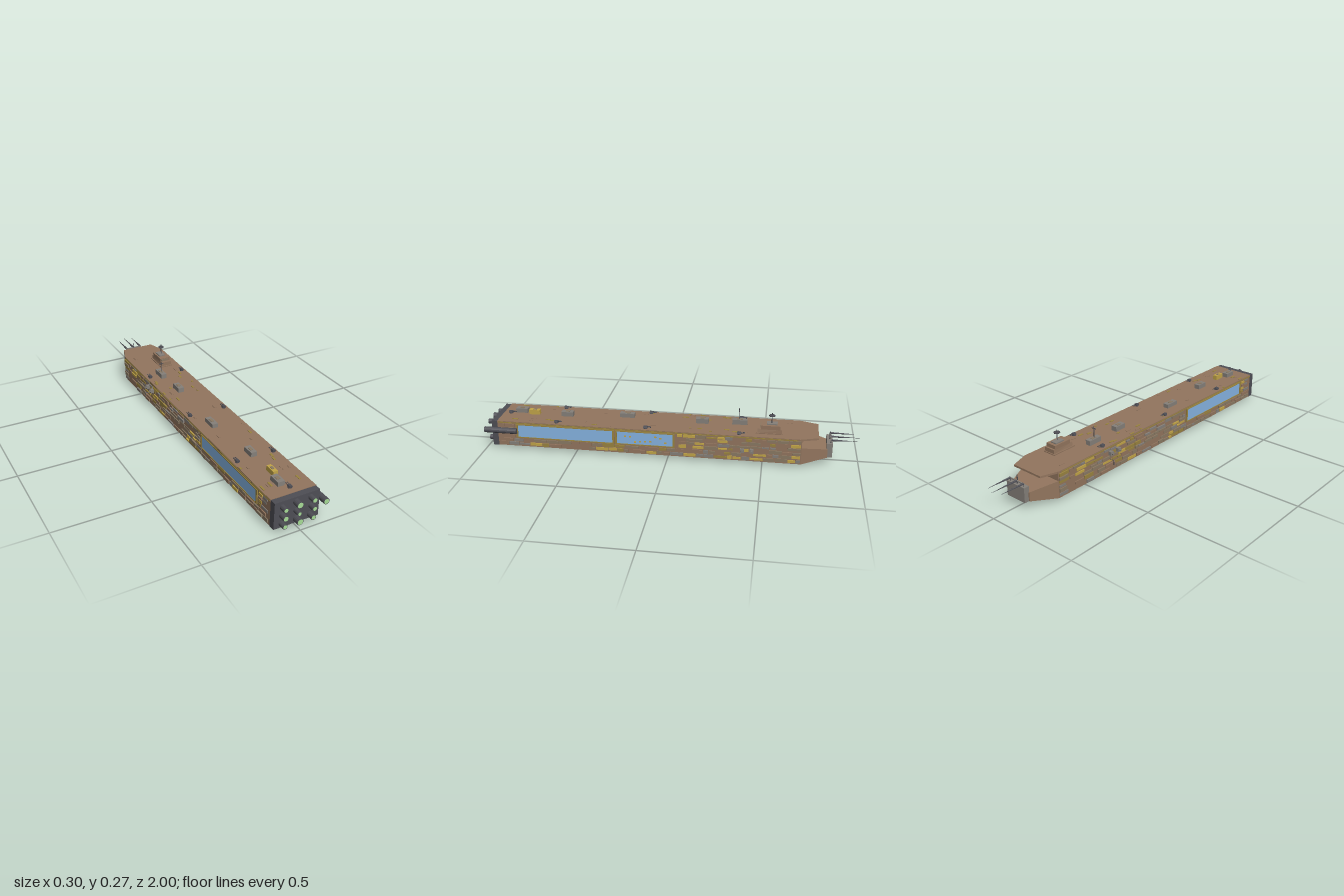
import * as THREE from 'three';

const mat = (color, extra = {}) => new THREE.MeshStandardMaterial({ color, flatShading: true, ...extra });
const M = {
  hull: mat(0x92755e), grey: mat(0x85807a), tan: mat(0x8a7a64), yellow: mat(0xc2a548),
  olive: mat(0x9a8440), dark: mat(0x4e4e55), blue: mat(0x86b4e2), green: mat(0xa6dc96),
};

// Small seeded generator for the plating
let seed = 7;
const rnd = () => (seed = (seed * 16807) % 2147483647) / 2147483647;
const between = (a, b) => a + (b - a) * rnd();

function add(parent, name, geo, material, x = 0, y = 0, z = 0) {
  const mesh = new THREE.Mesh(geo, material);
  mesh.name = name;
  mesh.position.set(x, y, z);
  parent.add(mesh);
  return mesh;
}
// Box given by its extents on each axis
function box(parent, name, material, [x0, x1], [y0, y1], [z0, z1]) {
  return add(parent, name, new THREE.BoxGeometry(x1 - x0, y1 - y0, z1 - z0), material,
    (x0 + x1) / 2, (y0 + y1) / 2, (z0 + z1) / 2);
}
function rod(parent, name, material, r, len, axis, x, y, z, sides = 8, r2 = r) {
  const geo = new THREE.CylinderGeometry(r2, r, len, sides);
  if (axis === 'z') geo.rotateX(Math.PI / 2);
  if (axis === 'x') geo.rotateZ(-Math.PI / 2);
  return add(parent, name, geo, material, x, y, z);
}
// Box whose cross-section changes: corners moved by their side in z and y
function taperedBox(parent, name, material, zBack, back, zFront, front) {
  const geo = new THREE.BoxGeometry(2, 2, 2);
  const p = geo.attributes.position;
  for (let i = 0; i < p.count; i++) {
    const [wTop, wBottom, y0, y1] = p.getZ(i) < 0 ? back : front;
    const up = p.getY(i) > 0;
    p.setXYZ(i, p.getX(i) * (up ? wTop : wBottom), up ? y1 : y0, p.getZ(i) < 0 ? zBack : zFront);
  }
  geo.computeVertexNormals();
  return add(parent, name, geo, material);
}

function buildHull(g) {
  box(g, 'hull', M.hull, [-0.12, 0.12], [0.02, 0.157], [-0.7, 0.93]);
  taperedBox(g, 'keel', M.hull, -0.715, [0.08, 0.048, 0, 0.022], 0.89, [0.08, 0.048, 0, 0.022]);
  taperedBox(g, 'nose', M.hull, -0.835, [0.066, 0.066, 0.042, 0.09], -0.7, [0.12, 0.12, 0.02, 0.112]);
  box(g, 'nosePlate', M.grey, [-0.06, 0.06], [0.042, 0.12], [-0.86, -0.83]);

  // Deck slab overhanging the nose
  const s = new THREE.Shape();
  [[-0.122, -0.93], [0.122, -0.93], [0.122, 0.69], [0.09, 0.785], [-0.09, 0.785], [-0.122, 0.69]]
    .forEach(([x, y], i) => (i ? s.lineTo(x, y) : s.moveTo(x, y)));
  const deck = new THREE.ExtrudeGeometry(s, { depth: 0.01, bevelEnabled: false });
  deck.rotateX(-Math.PI / 2);
  add(g, 'deck', deck, M.hull, 0, 0.152, 0);
}

function buildNoseSpikes(g) {
  rod(g, 'noseMast', M.dark, 0.0025, 0.05, 'y', 0, 0.138, -0.845);
  box(g, 'spikeBar', M.grey, [-0.05, 0.05], [0.131, 0.137], [-0.852, -0.846]);
  for (const x of [-0.045, 0, 0.045]) {
    const len = x ? 0.135 : 0.15;
    rod(g, 'noseSpike', M.dark, 0.006, len, 'z', x, 0.135, -0.85 - len / 2, 6, 0.0003).rotation.y = Math.PI;
    rod(g, 'spikePost', M.dark, 0.002, 0.02, 'y', x, 0.126, -0.85, 6);
  }
}

function thruster(g, x, y, r, z0, z1) {
  rod(g, 'thruster', M.dark, r + 0.003, z1 - z0, 'z', x, y, (z0 + z1) / 2, 16);
  rod(g, 'thrusterGlow', M.green, r, 0.002, 'z', x, y, z1, 16);
}
function buildEngines(g) {
  box(g, 'engineBlock', M.dark, [-0.12, 0.12], [0.018, 0.16], [0.93, 0.962]);
  const nozzles = [[-0.08, 0.132, 0.01], [-0.006, 0.135, 0.014], [0.072, 0.135, 0.011],
    [-0.078, 0.086, 0.012], [-0.006, 0.088, 0.009], [0.075, 0.088, 0.01],
    [-0.08, 0.042, 0.01], [0, 0.041, 0.014], [0.072, 0.041, 0.011]];
  nozzles.forEach(([x, y, r]) => thruster(g, x, y, r, 0.95, 0.995));
  thruster(g, 0.133, 0.112, 0.013, 0.82, 0.999);
}

// Blue bay with a yellow frame, on side s (+1 or -1)
function buildBay(g, s, z0, z1) {
  const y0 = 0.073, y1 = 0.147, f = 0.005;
  const side = (a, b) => (s > 0 ? [a, b] : [-b, -a]);
  box(g, 'bayWindow', M.blue, side(0.115, 0.1225), [y0, y1], [z0, z1]);
  for (const y of [y0, y1]) box(g, 'bayFrame', M.olive, side(0.115, 0.126), [y - f / 2, y + f / 2], [z0 - f, z1 + f]);
  for (const z of [z0, z1]) box(g, 'bayFrame', M.olive, side(0.115, 0.126), [y0, y1], [z - f, z + f]);
}

// Rows of irregular armour plates
function buildPlating(g, s, z0, z1, rows) {
  const colors = [M.tan, M.grey, M.olive, M.yellow, M.tan, M.hull];
  for (const [y0, y1] of rows) {
    for (let z = z0; z < z1 - 0.02;) {
      const end = Math.min(z + between(0.025, 0.075), z1);
      const x = between(0.122, 0.128);
      if (rnd() > 0.15) {
        box(g, 'armourPlate', colors[Math.floor(rnd() * colors.length)],
          s > 0 ? [0.115, x] : [-x, -0.115], [y0 + between(0, 0.006), y1 - between(0.001, 0.008)], [z, end - 0.004]);
      }
      z = end;
    }
  }
}

function buildSides(g) {
  const low = [[0.024, 0.047], [0.047, 0.07]];
  const high = [[0.072, 0.092], [0.092, 0.112], [0.112, 0.132], [0.132, 0.152]];
  for (const s of [1, -1]) {
    buildBay(g, s, 0.29, 0.82);
    buildPlating(g, s, -0.695, 0.92, low);
    buildPlating(g, s, -0.695, s > 0 ? -0.05 : 0.275, high);
    buildPlating(g, s, 0.835, 0.92, high);
  }
  buildBay(g, 1, -0.035, 0.275);
  // Lit hatches on the second bay
  for (let i = 0; i < 9; i++) {
    const z = 0.22 - i * 0.027, y = 0.083 + between(0, 0.04);
    box(g, 'bayHatch', M.yellow, [0.12, 0.1245], [y, y + 0.009], [z, z + 0.012]);
  }
  // Side guns
  for (const [s, y, zs] of [[1, 0.083, [-0.445, -0.395]], [-1, 0.125, [-0.345, -0.29]]]) {
    for (const z of zs) {
      box(g, 'sideGunMount', M.grey, [s * 0.131 - 0.009, s * 0.131 + 0.009], [y - 0.01, y + 0.01], [z - 0.01, z + 0.01]);
      rod(g, 'sideGun', M.grey, 0.006, 0.012, 'x', s * 0.142, y, z);
    }
  }
  rod(g, 'sideAerialArm', M.dark, 0.0015, 0.03, 'x', -0.135, 0.089, -0.345, 6);
  rod(g, 'sideAerial', M.dark, 0.0015, 0.025, 'y', -0.149, 0.077, -0.345, 6);
}

function turret(g, x, z, s = -1) {
  const t = new THREE.Group();
  t.name = 'turret';
  t.position.set(x, 0.162, z);
  rod(t, 'turretBase', M.dark, 0.011, 0.005, 'y', 0, 0.0025, 0, 8);
  taperedBox(t, 'turretHead', M.dark, -0.01, [0.007, 0.01, 0.004, 0.013], 0.01, [0.007, 0.01, 0.004, 0.013]);
  for (const dx of [-0.005, 0.005]) rod(t, 'turretBarrel', M.dark, 0.002, 0.024, 'z', dx, 0.009, s * 0.018, 6);
  g.add(t);
}

function buildDeck(g) {
  // Deckhouses: x, z, width, depth, height
  const houses = [[-0.035, -0.37, 0.03, 0.08, 0.026, M.grey], [-0.022, -0.17, 0.034, 0.068, 0.026, M.grey],
    [-0.04, 0.243, 0.032, 0.08, 0.022, M.grey], [-0.006, 0.57, 0.032, 0.065, 0.025, M.grey],
    [-0.003, 0.755, 0.025, 0.06, 0.026, M.yellow], [-0.023, 0.832, 0.036, 0.065, 0.024, M.grey]];
  for (const [x, z, w, d, h, m] of houses) {
    box(g, 'deckhouse', m, [x - w / 2, x + w / 2], [0.16, 0.162 + h], [z - d / 2, z + d / 2]);
    box(g, 'deckhouseVent', M.tan, [x - w / 4, x + w / 4], [0.16, 0.164 + h], [z - d / 5, z + d / 6]);
  }
  for (const z of [-0.375, 0.12, 0.605]) for (const x of [-0.1, 0.1]) turret(g, x, z);
  turret(g, 0.005, 0.89);

  // Mast with crossbar
  rod(g, 'mast', M.dark, 0.0018, 0.065, 'y', -0.035, 0.218, -0.365, 6);
  box(g, 'mastCrossbar', M.dark, [-0.048, -0.022], [0.237, 0.24], [-0.367, -0.363]);

  // Bridge tower with dish mast
  box(g, 'bridgeBase', M.hull, [0.008, 0.08], [0.16, 0.167], [-0.6, -0.46]);
  taperedBox(g, 'bridgeLower', M.hull, -0.595, [0.03, 0.032, 0.165, 0.188], -0.468, [0.028, 0.032, 0.165, 0.188]).position.x = 0.046;
  box(g, 'bridgeUpper', M.hull, [0.016, 0.076], [0.186, 0.207], [-0.585, -0.485]);
  box(g, 'bridgeWindow', M.tan, [0.02, 0.062], [0.191, 0.203], [-0.488, -0.482]);
  box(g, 'bridgeRoof', M.grey, [0.025, 0.06], [0.205, 0.213], [-0.57, -0.515]);
  rod(g, 'dishMast', M.dark, 0.002, 0.06, 'y', 0.047, 0.24, -0.54, 6);
  rod(g, 'dish', M.dark, 0.017, 0.004, 'y', 0.047, 0.255, -0.54, 8);

  // Scattered deck hatches
  for (let i = 0; i < 34; i++) {
    const x = (i % 2 ? 1 : -1) * between(0.05, 0.115), z = between(-0.66, 0.9), d = between(0.006, 0.018);
    if (x > 0 && z < -0.44) continue;
    box(g, 'deckHatch', rnd() > 0.4 ? M.olive : M.hull, [x - 0.005, x + 0.005], [0.16, 0.164], [z - d, z + d]);
  }
  // Deck edge trim
  for (const s of [-1, 1]) box(g, 'deckTrim', M.olive, [s * 0.1225 - 0.0015, s * 0.1225 + 0.0015], [0.152, 0.158], [-0.68, 0.925]);
}

export function createModel() {
  seed = 7;
  const model = new THREE.Group();
  model.name = 'carrierShip';
  const sections = { hullSection: buildHull, noseSpikes: buildNoseSpikes, engines: buildEngines, sidePlating: buildSides, deckFittings: buildDeck };
  for (const [name, build] of Object.entries(sections)) {
    const g = new THREE.Group();
    g.name = name;
    build(g);
    model.add(g);
  }
  return model;
}
